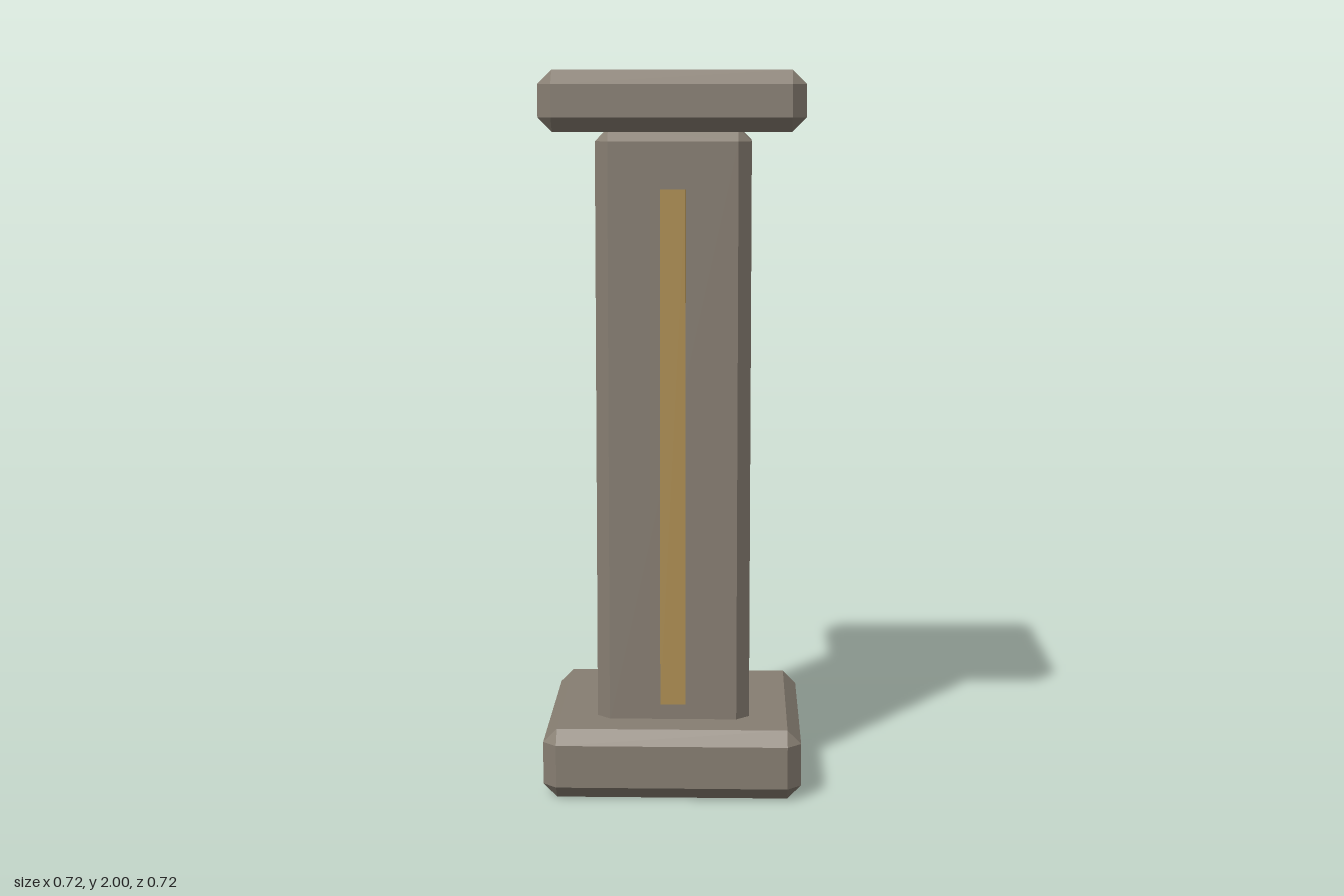
import * as THREE from 'three';
import { ConvexGeometry } from 'three/addons/geometries/ConvexGeometry.js';

const stone = new THREE.MeshStandardMaterial({ color: 0x877e72 });
stone.name = 'stone';
const gold = new THREE.MeshStandardMaterial({ color: 0xae8e52 });
gold.name = 'gold';

// Square block from y0 to y1 with every edge cut at 45 degrees
function chamferedBlock(name, half, y0, y1, cut) {
  const h = (y1 - y0) / 2;
  const points = [];
  for (const sx of [-1, 1]) for (const sy of [-1, 1]) for (const sz of [-1, 1]) {
    const inner = [half - cut, h - cut, half - cut];
    for (let axis = 0; axis < 3; axis++) {
      const p = [...inner];
      p[axis] += cut;
      points.push(new THREE.Vector3(p[0] * sx, p[1] * sy, p[2] * sz));
    }
  }
  const mesh = new THREE.Mesh(new ConvexGeometry(points), stone);
  mesh.name = name;
  mesh.position.y = (y0 + y1) / 2;
  return mesh;
}

export function createModel() {
  const group = new THREE.Group();
  group.name = 'pillar';

  // Base slab, shaft sunk into both slabs, and cap slab
  group.add(chamferedBlock('base', 0.358, 0, 0.195, 0.038));
  group.add(chamferedBlock('shaft', 0.214, 0.15, 1.845, 0.036));
  group.add(chamferedBlock('cap', 0.358, 1.836, 2, 0.038));

  // Raised strip on the front of the shaft
  const strip = new THREE.Mesh(new THREE.BoxGeometry(0.07, 1.436, 0.04), gold);
  strip.name = 'frontStrip';
  strip.position.set(0, 0.962, 0.219);
  group.add(strip);

  return group;
}
